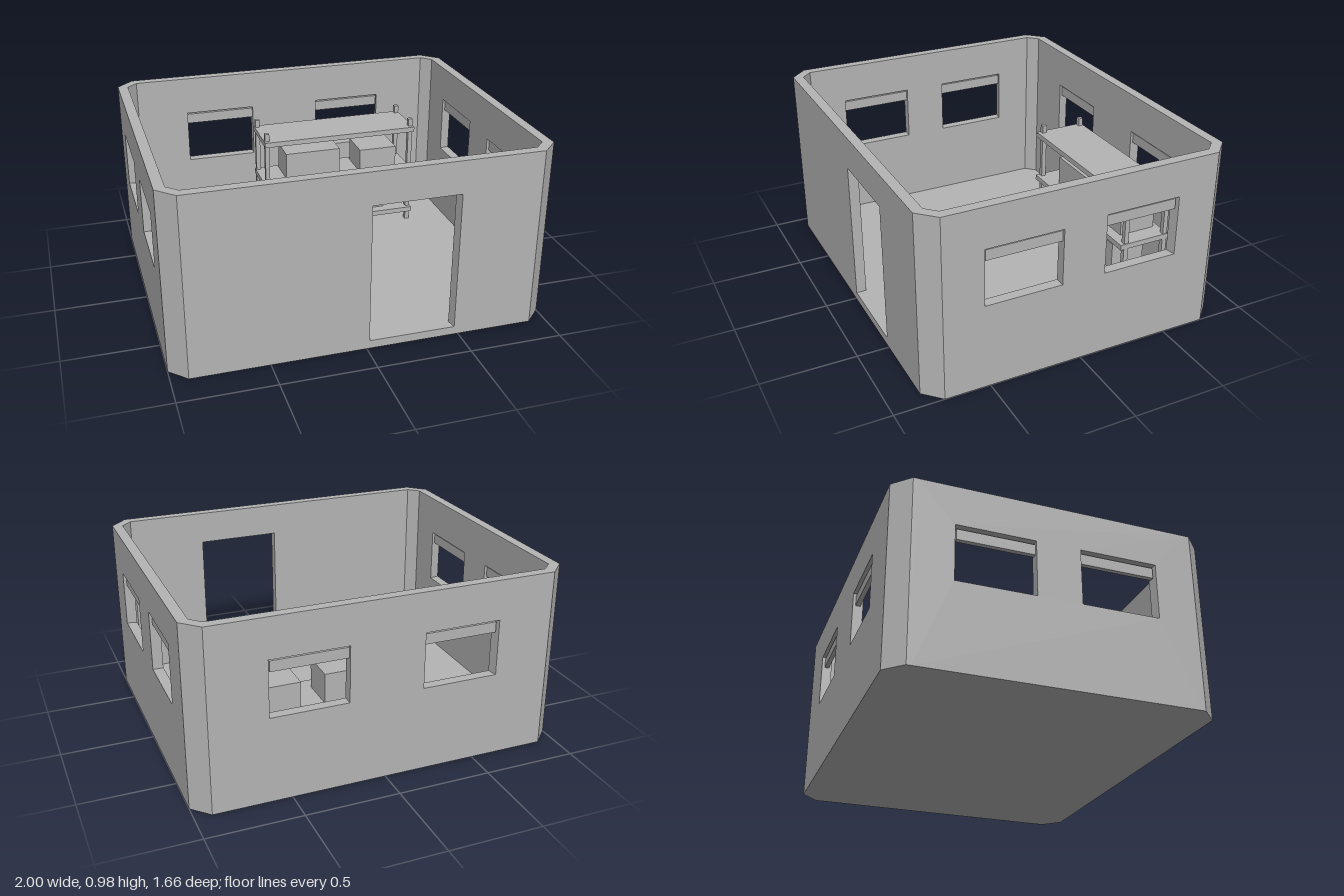
import * as THREE from 'three';

const HEIGHT = 0.98, WALL = 0.055, FLOOR = 0.045;

export function createModel() {
  const room = new THREE.Group();
  room.name = 'room';
  const grey = new THREE.MeshStandardMaterial({ color: 0xb4b4b4 });
  grey.name = 'plain grey';

  function add(parent, name, geometry) {
    const mesh = new THREE.Mesh(geometry, grey);
    mesh.name = name;
    parent.add(mesh);
    return mesh;
  }

  // Box given by its limits on each axis
  function box(parent, name, [x0, x1], [y0, y1], [z0, z1]) {
    add(parent, name, new THREE.BoxGeometry(x1 - x0, y1 - y0, z1 - z0))
      .position.set((x0 + x1) / 2, (y0 + y1) / 2, (z0 + z1) / 2);
  }

  // Upright prism from a plan outline of [x, z] points
  function prism(name, outline, height) {
    const shape = new THREE.Shape(outline.map(([x, z]) => new THREE.Vector2(x, -z)));
    const geometry = new THREE.ExtrudeGeometry(shape, { depth: height, bevelEnabled: false });
    return add(room, name, geometry.rotateX(-Math.PI / 2));
  }

  // Wall panel with openings; the jamb farther from the middle flares outward
  function wall(name, half, distance, angle, openings) {
    const group = new THREE.Group();
    group.name = name;
    group.rotation.y = angle;
    room.add(group);
    const rect = (path, u0, u1, y0, y1) =>
      path.moveTo(u0, y0).lineTo(u1, y0).lineTo(u1, y1).lineTo(u0, y1).closePath();
    const shape = new THREE.Shape();
    rect(shape, -half, half, 0, HEIGHT);
    for (const { u, y } of openings) {
      const hole = new THREE.Path();
      rect(hole, u[0], u[1], y[0], y[1]);
      shape.holes.push(hole);
    }
    const geometry = new THREE.ExtrudeGeometry(shape, { depth: WALL, bevelEnabled: false });
    const p = geometry.attributes.position;
    for (const { u } of openings) {
      const edge = Math.abs(u[0]) > Math.abs(u[1]) ? u[0] : u[1];
      for (let i = 0; i < p.count; i++) {
        if (p.getZ(i) > WALL / 2 && Math.abs(p.getX(i) - edge) < 1e-4) {
          p.setX(i, edge + Math.sign(edge) * 0.01);
        }
      }
    }
    geometry.computeVertexNormals();
    add(group, name + 'Panel', geometry).position.z = distance;
    // Crossbar just below the head of each window
    for (const { u, y, bar } of openings) {
      if (bar) box(group, 'windowBar', u, [y[1] - 0.07, y[1] - 0.013], [distance + 0.015, distance + 0.04]);
    }
  }

  const windowAt = (u0, u1, top = 0.765) => ({ u: [u0, u1], y: [0.462, top], bar: true });

  // Floor slab inside the walls
  prism('floor', [
    [0.89, 0.775], [0.945, 0.72], [0.945, -0.72], [0.89, -0.775],
    [-0.89, -0.775], [-0.945, -0.72], [-0.945, 0.72], [-0.89, 0.775],
  ], FLOOR);

  // Chamfered corners
  for (const sx of [-1, 1]) {
    for (const sz of [-1, 1]) {
      const outline = [[0.89, 0.83], [0.91, 0.83], [1, 0.74], [1, 0.72], [0.945, 0.72], [0.89, 0.775]];
      prism('wallCorner', outline.map(([x, z]) => [x * sx, z * sz]), HEIGHT);
    }
  }

  // Four walls
  wall('frontWall', 0.89, 0.775, 0, [{ u: [0.015, 0.468], y: [FLOOR, 0.802] }]);
  wall('backWall', 0.89, 0.775, Math.PI, [windowAt(-0.6, -0.2), windowAt(0.2, 0.6)]);
  wall('leftWall', 0.72, 0.945, Math.PI / 2, [windowAt(-0.518, -0.117), windowAt(0.117, 0.515, 0.785)]);
  wall('rightWall', 0.72, 0.945, -Math.PI / 2, [windowAt(-0.518, -0.117), windowAt(0.117, 0.518)]);

  // Shelving unit against the back wall
  const shelving = new THREE.Group();
  shelving.name = 'shelving';
  room.add(shelving);
  for (const y of [0.105, 0.362, 0.64]) {
    box(shelving, 'shelf', [-0.215, 0.715], [y, y + 0.03], [-0.697, -0.4]);
  }
  for (const x of [-0.21, 0.685]) {
    for (const z of [-0.692, -0.449]) {
      box(shelving, 'post', [x, x + 0.026], [FLOOR, 0.715], [z, z + 0.026]);
    }
  }

  // Boxes stored on the shelves
  box(shelving, 'storageBox', [-0.07, 0.265], [0.392, 0.553], [-0.67, -0.475]);
  box(shelving, 'storageBox', [0.39, 0.62], [0.392, 0.533], [-0.665, -0.457]);
  box(shelving, 'storageBox', [-0.15, 0.09], [0.135, 0.297], [-0.66, -0.46]);
  box(shelving, 'storageBox', [0.14, 0.55], [0.135, 0.297], [-0.66, -0.46]);

  return room;
}
